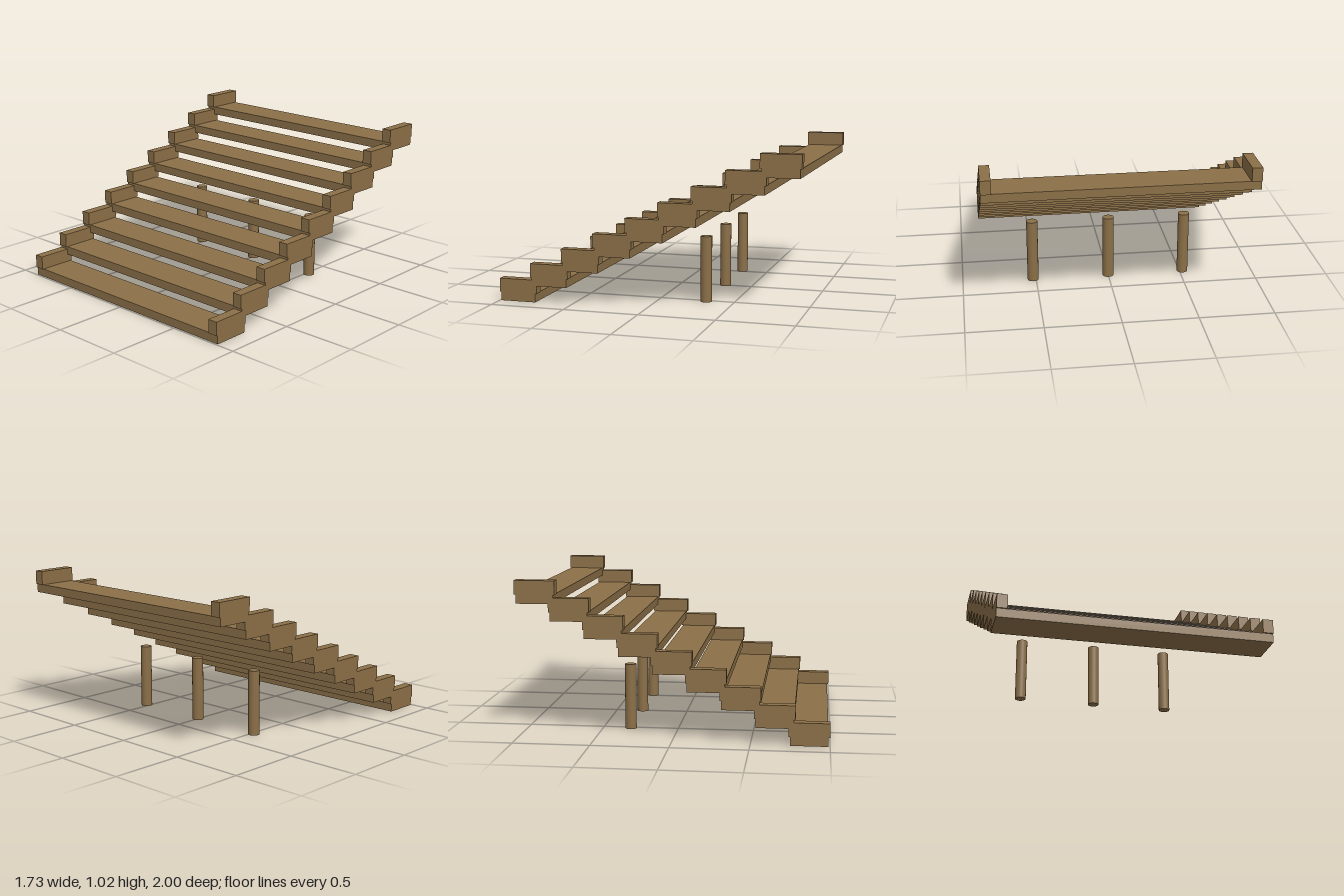
import * as THREE from 'three';

export function createModel() {
  const group = new THREE.Group();
  const wood = new THREE.MeshStandardMaterial({ color: 0x8b6f47 });
  wood.name = 'wood';

  const add = (name, geometry, x, y, z) => {
    const mesh = new THREE.Mesh(geometry, wood);
    mesh.name = name;
    mesh.position.set(x, y, z);
    group.add(mesh);
  };

  const count = 9, rise = 0.109, run = 0.2175;
  const treadHeight = 0.057, blockHeight = 0.091;
  const tread = new THREE.BoxGeometry(1.734, treadHeight, 0.24);
  const block = new THREE.BoxGeometry(0.067, blockHeight, 0.26);

  // Floating treads, each with a raised block at both ends
  for (let i = 0; i < count; i++) {
    const y = i * rise;
    const z = 0.87 - i * run;
    add('tread', tread, 0, y + treadHeight / 2, z);
    for (const side of [-1, 1]) {
      add(side > 0 ? 'leftEndBlock' : 'rightEndBlock', block,
        side * 0.8335, y + treadHeight + blockHeight / 2, z);
    }
  }

  // Round support posts beneath the upper flight
  const post = new THREE.CylinderGeometry(0.038, 0.038, 0.436, 16);
  for (const x of [-0.52, 0, 0.52]) add('supportPost', post, x, 0.218, -0.315);

  return group;
}
